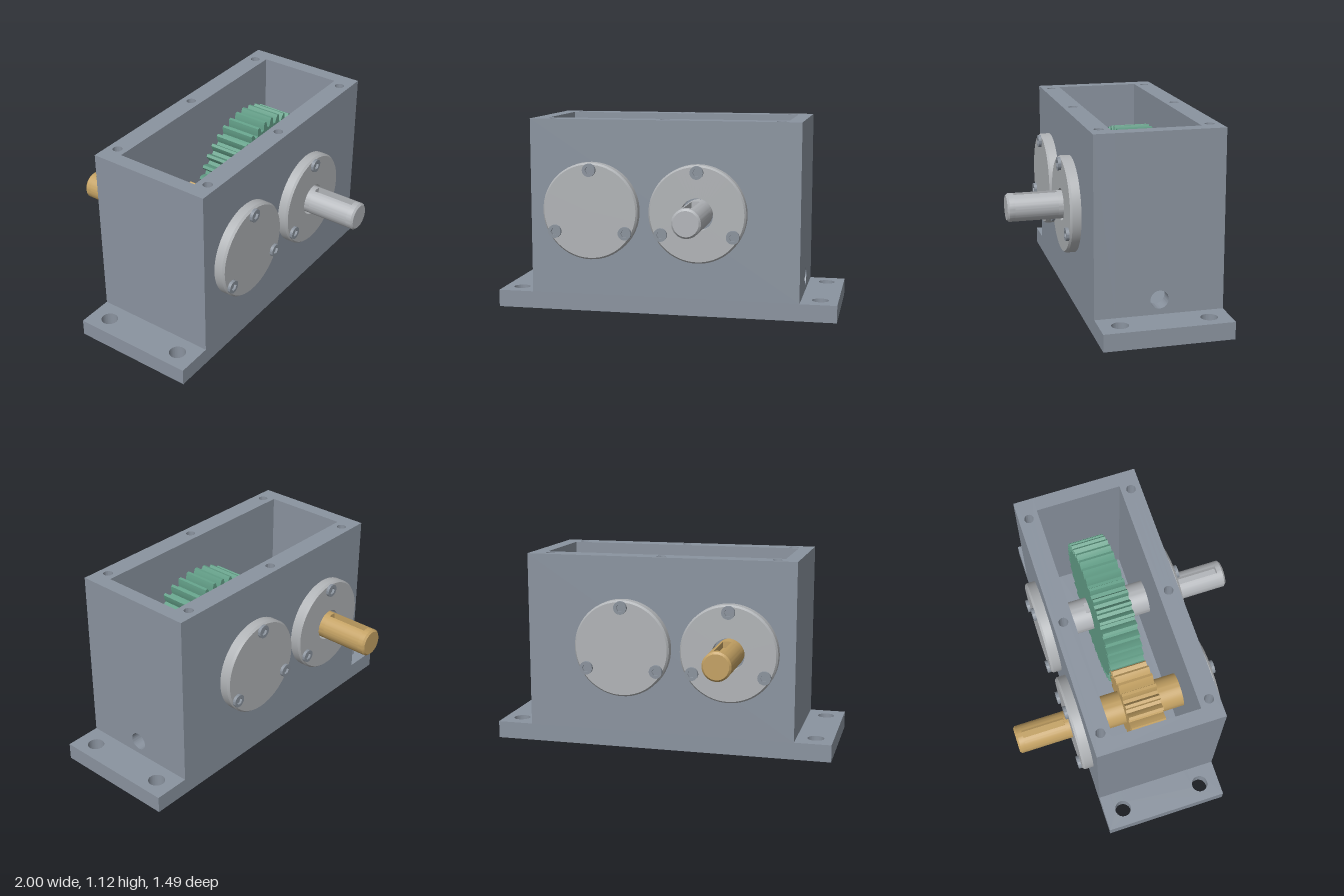
import * as THREE from 'three';
import { toCreasedNormals } from 'three/addons/utils/BufferGeometryUtils.js';

const mat = (name, color) => {
  const m = new THREE.MeshStandardMaterial({ color });
  m.name = name;
  return m;
};

const SHAFT_Y = 0.6;
const PINION_X = -0.417, GEAR_X = 0.208;
const MODULE = 0.0208;

export function createModel() {
  const housingGrey = mat('housing grey', 0x8a939f);
  const coverGrey = mat('cover grey', 0xb0b3b6);
  const steel = mat('shaft steel', 0xb2b5b9);
  const boltGrey = mat('bolt grey', 0x8a929c);
  const bronze = mat('bronze', 0xc3a163);
  const green = mat('gear green', 0x639f88);

  const model = new THREE.Group();
  model.name = 'gearbox';

  function add(parent, name, geometry, material, x = 0, y = 0, z = 0) {
    const mesh = new THREE.Mesh(geometry, material);
    mesh.name = name;
    mesh.position.set(x, y, z);
    parent.add(mesh);
    return mesh;
  }
  const polygon = (pts) => new THREE.Shape(pts.map(([x, y]) => new THREE.Vector2(x, y)));
  const rect = (w, h) => polygon([[-w, -h], [w, -h], [w, h], [-w, h]]);
  const drill = (shape, x, y, r) => shape.holes.push(new THREE.Path().absarc(x, y, r, 0, Math.PI * 2, true));
  const extrude = (shape, depth) => new THREE.ExtrudeGeometry(shape, { depth, bevelEnabled: false, curveSegments: 32 });
  const crease = (g) => toCreasedNormals(g, 0.5);
  // Turned part whose axis runs along +z
  const turned = (pts) => crease(
    new THREE.LatheGeometry(pts.map(([r, h]) => new THREE.Vector2(r, h)), 64).rotateX(Math.PI / 2));

  // Base plate with four mounting holes
  const base = rect(1, 0.367);
  for (const x of [-0.897, 0.897]) for (const z of [-0.25, 0.25]) drill(base, x, z, 0.048);
  add(model, 'basePlate', crease(extrude(base, 0.1).rotateX(-Math.PI / 2)), housingGrey);

  // Three housing walls, drilled for the lid screws
  const walls = polygon([[-0.788, -0.367], [0.788, -0.367], [0.788, -0.25], [-0.705, -0.25],
    [-0.705, 0.25], [0.788, 0.25], [0.788, 0.367], [-0.788, 0.367]]);
  for (const x of [-0.667, 0, 0.667]) for (const z of [-0.308, 0.308]) drill(walls, x, z, 0.027);
  add(model, 'housingWalls', crease(extrude(walls, 1.025).rotateX(-Math.PI / 2)), housingGrey, 0, 0.1);

  // End wall with the drain hole
  const endWall = polygon([[-0.25, 0.1], [0.25, 0.1], [0.25, 1.125], [-0.25, 1.125]]);
  drill(endWall, 0, 0.185, 0.052);
  add(model, 'drainWall', crease(extrude(endWall, 0.083).rotateY(Math.PI / 2)), housingGrey, 0.705);

  // Socket head bolt
  const head = new THREE.Shape().absarc(0, 0, 0.038, 0, Math.PI * 2, false);
  const socket = [];
  for (let i = 0; i < 6; i++) {
    const a = -i * Math.PI / 3;
    socket.push(new THREE.Vector2(0.022 * Math.cos(a), 0.022 * Math.sin(a)));
  }
  head.holes.push(new THREE.Path(socket));
  const boltGeo = crease(extrude(head, 0.018));
  const socketFloor = new THREE.CircleGeometry(0.03, 24);

  // Bearing cover with three bolts; open covers let a shaft through
  function cover(name, x, open, back) {
    const group = new THREE.Group();
    group.name = name;
    group.position.set(x, SHAFT_Y, back ? -0.367 : 0.367);
    if (back) group.rotation.y = Math.PI;
    const bore = open ? 0.094 : 0;
    const profile = [[0.281, 0], [0.281, 0.05], [0.271, 0.062], [bore, 0.062]];
    if (open) profile.push([bore, 0]);
    add(group, 'coverDisc', turned(profile), coverGrey);
    for (let i = 0; i < 3; i++) {
      const a = Math.PI / 2 + i * Math.PI * 2 / 3;
      const bx = 0.24 * Math.cos(a), by = 0.24 * Math.sin(a);
      add(group, 'bolt', boltGeo, boltGrey, bx, by, 0.062);
      add(group, 'boltSocket', socketFloor, boltGrey, bx, by, 0.066);
    }
    model.add(group);
  }
  cover('frontBlindCover', PINION_X, false, false);
  cover('frontShaftCover', GEAR_X, true, false);
  cover('backShaftCover', PINION_X, true, true);
  cover('backBlindCover', GEAR_X, false, true);

  // Stepped shaft with a keyway near its chamfered end
  function shaft(name, x, material, back) {
    const group = new THREE.Group();
    group.name = name;
    group.position.set(x, SHAFT_Y, 0);
    if (back) group.rotation.y = Math.PI;
    const r = 0.082, w = 0.023, a = Math.asin(w / r);
    add(group, 'shaftBody', turned([[0, -0.3], [0.099, -0.3], [0.099, 0.3], [r, 0.3], [r, 0.455], [0, 0.455]]), material);
    const slotted = new THREE.Shape().absarc(0, 0, r, Math.PI / 2 + a, Math.PI * 2.5 - a, false);
    slotted.lineTo(w, r - 0.037);
    slotted.lineTo(-w, r - 0.037);
    add(group, 'keywaySection', crease(extrude(slotted, 0.25)), material, 0, 0, 0.455);
    add(group, 'shaftEnd', turned([[0, 0.705], [r, 0.705], [r, 0.736], [r - 0.011, 0.747], [0, 0.747]]), material);
    model.add(group);
  }
  shaft('inputShaft', PINION_X, bronze, true);
  shaft('outputShaft', GEAR_X, steel, false);

  // Spur gear: tooth flanks run from root to pitch to tip
  function gear(name, x, teeth, material, phase) {
    const pitch = MODULE * teeth / 2, step = Math.PI * 2 / teeth;
    const root = pitch - 1.25 * MODULE, tip = pitch + MODULE;
    const flank = [[-0.32, root], [-0.24, pitch], [-0.12, tip], [0.12, tip], [0.24, pitch], [0.32, root]];
    const pts = [];
    for (let i = 0; i < teeth; i++) {
      for (const [t, r] of flank) {
        const a = (i + phase + t) * step;
        pts.push([r * Math.cos(a), r * Math.sin(a)]);
      }
    }
    add(model, name, toCreasedNormals(extrude(polygon(pts), 0.208), 0.3), material, x, SHAFT_Y, -0.104);
  }
  gear('pinion', PINION_X, 20, bronze, 0);
  gear('largeGear', GEAR_X, 40, green, 0.5);

  // Key that locks the large gear to its shaft
  add(model, 'gearKey', new THREE.BoxGeometry(0.062, 0.05, 0.26), steel, GEAR_X, SHAFT_Y + 0.076, 0);

  return model;
}
